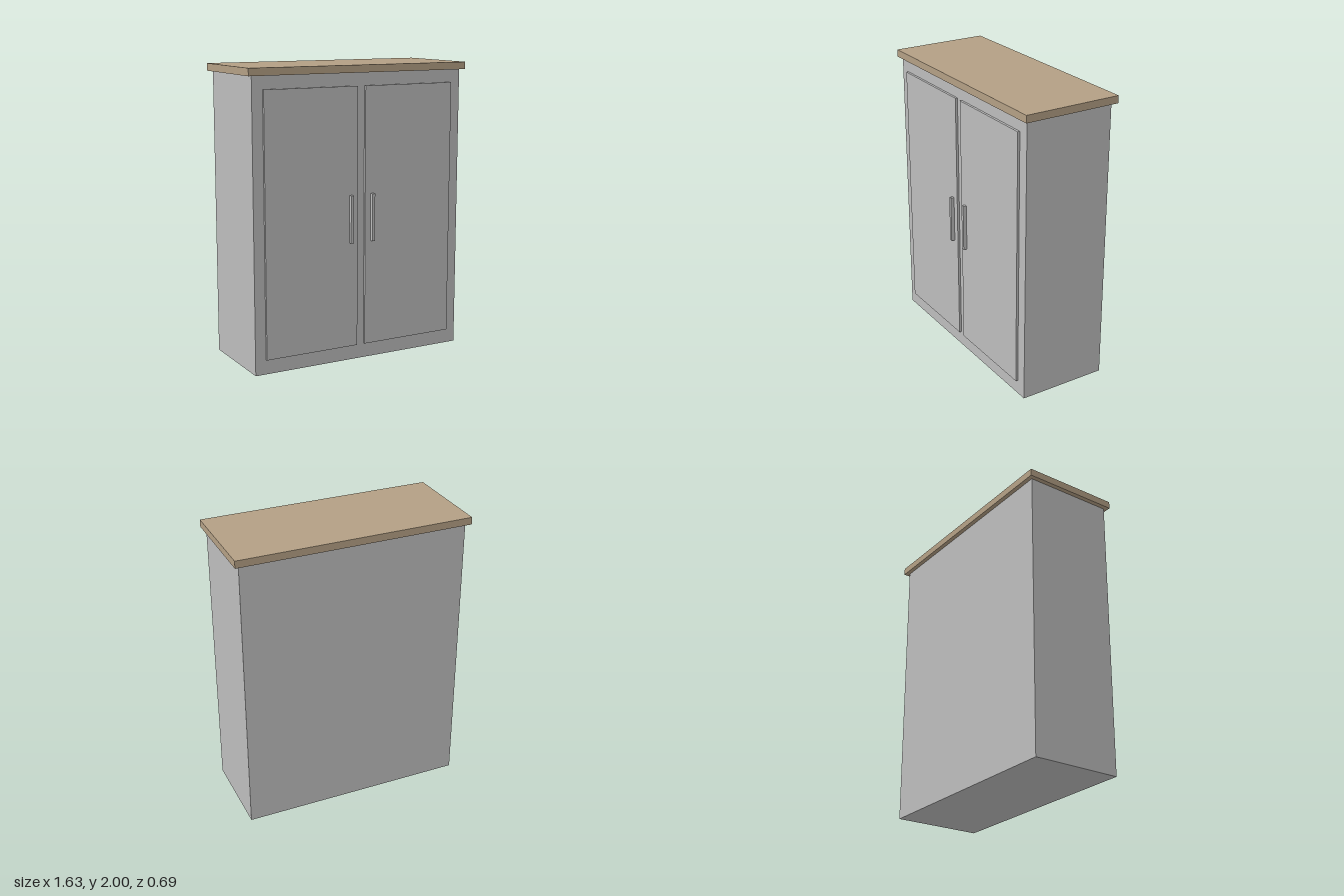
import * as THREE from 'three';

export function createModel() {
  const model = new THREE.Group();
  model.name = 'cabinet';

  const paint = new THREE.MeshStandardMaterial({ color: 0xbcbcbc });
  paint.name = 'grey paint';
  const wood = new THREE.MeshStandardMaterial({ color: 0xb39f84 });
  wood.name = 'light wood';

  // Box given by its lower and upper corner
  function box(name, material, min, max) {
    const size = max.map((v, i) => v - min[i]);
    const mesh = new THREE.Mesh(new THREE.BoxGeometry(...size), material);
    mesh.position.set(...max.map((v, i) => (v + min[i]) / 2));
    mesh.name = name;
    model.add(mesh);
  }

  // Carcass and overhanging worktop
  box('body', paint, [-0.782, 0, -0.318], [0.782, 1.95, 0.307]);
  box('top', wood, [-0.813, 1.95, -0.347], [0.813, 2, 0.333]);

  // Pair of raised doors, each with an upright bar handle near the middle
  for (const [side, s] of [['left', 1], ['right', -1]]) {
    const mirrored = (a, b) => (s > 0 ? [a, b] : [-b, -a]);
    const [d0, d1] = mirrored(0.029, 0.707);
    box(side + 'Door', paint, [d0, 0.1, 0.307], [d1, 1.863, 0.323]);
    const [h0, h1] = mirrored(0.071, 0.092);
    box(side + 'Handle', paint, [h0, 0.82, 0.323], [h1, 1.143, 0.348]);
  }
  return model;
}
